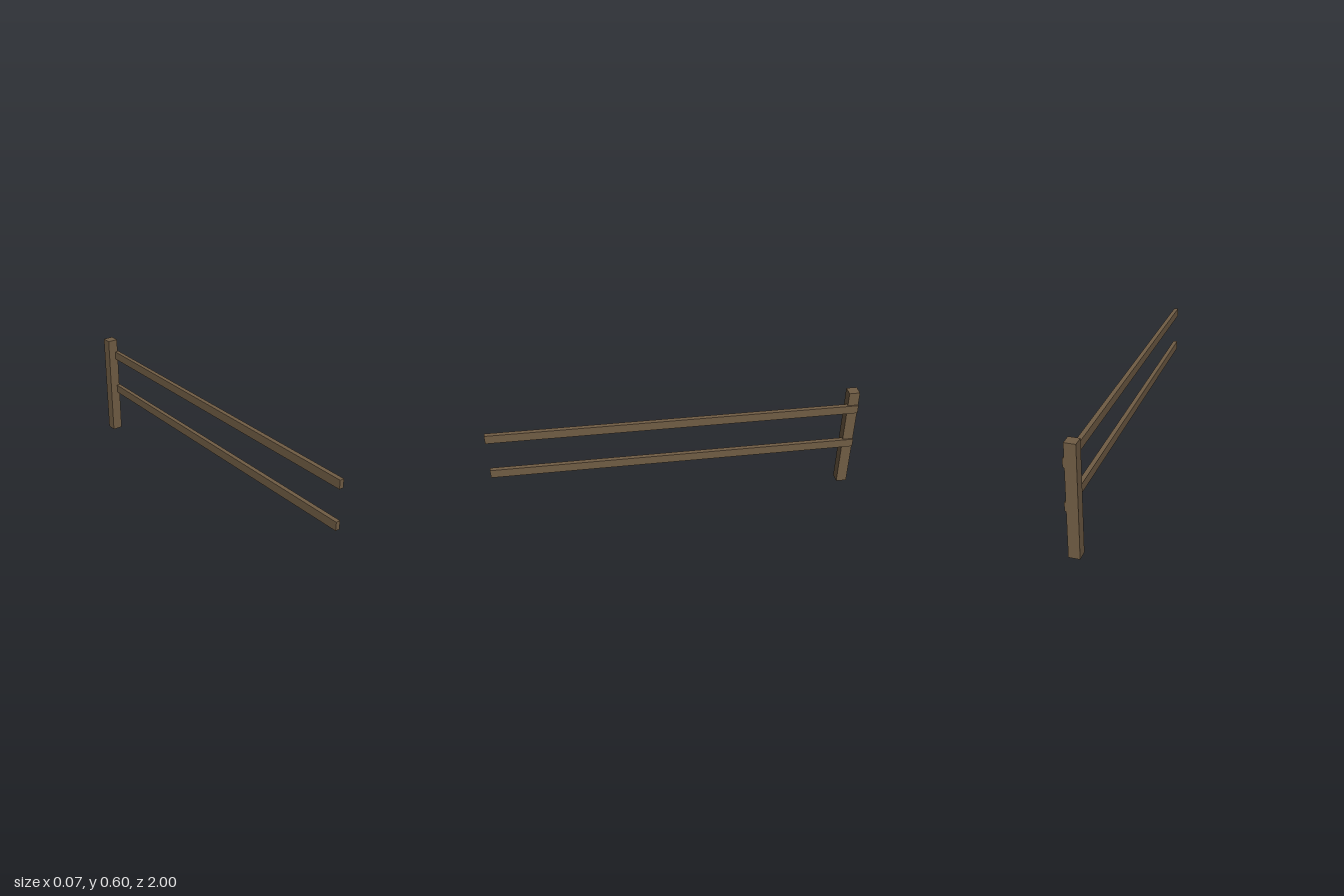
import * as THREE from 'three';

export function createModel() {
  const group = new THREE.Group();
  const wood = new THREE.MeshStandardMaterial({ color: 0x705c44 });
  wood.name = 'brownWood';

  // Box timber given by its lower and upper corners
  function timber(name, min, max) {
    const size = max.map((v, i) => v - min[i]);
    const mesh = new THREE.Mesh(new THREE.BoxGeometry(...size), wood);
    mesh.position.set(...max.map((v, i) => (v + min[i]) / 2));
    mesh.name = name;
    group.add(mesh);
  }

  // Single upright at the back end
  timber('post', [-0.033, 0, -1], [0.025, 0.602, -0.942]);

  // Two long rails let into the left face of the post
  [['lowerRail', 0.252], ['upperRail', 0.477]].forEach(([name, y]) =>
    timber(name, [0.009, y, -1], [0.033, y + 0.048, 1]));

  return group;
}
